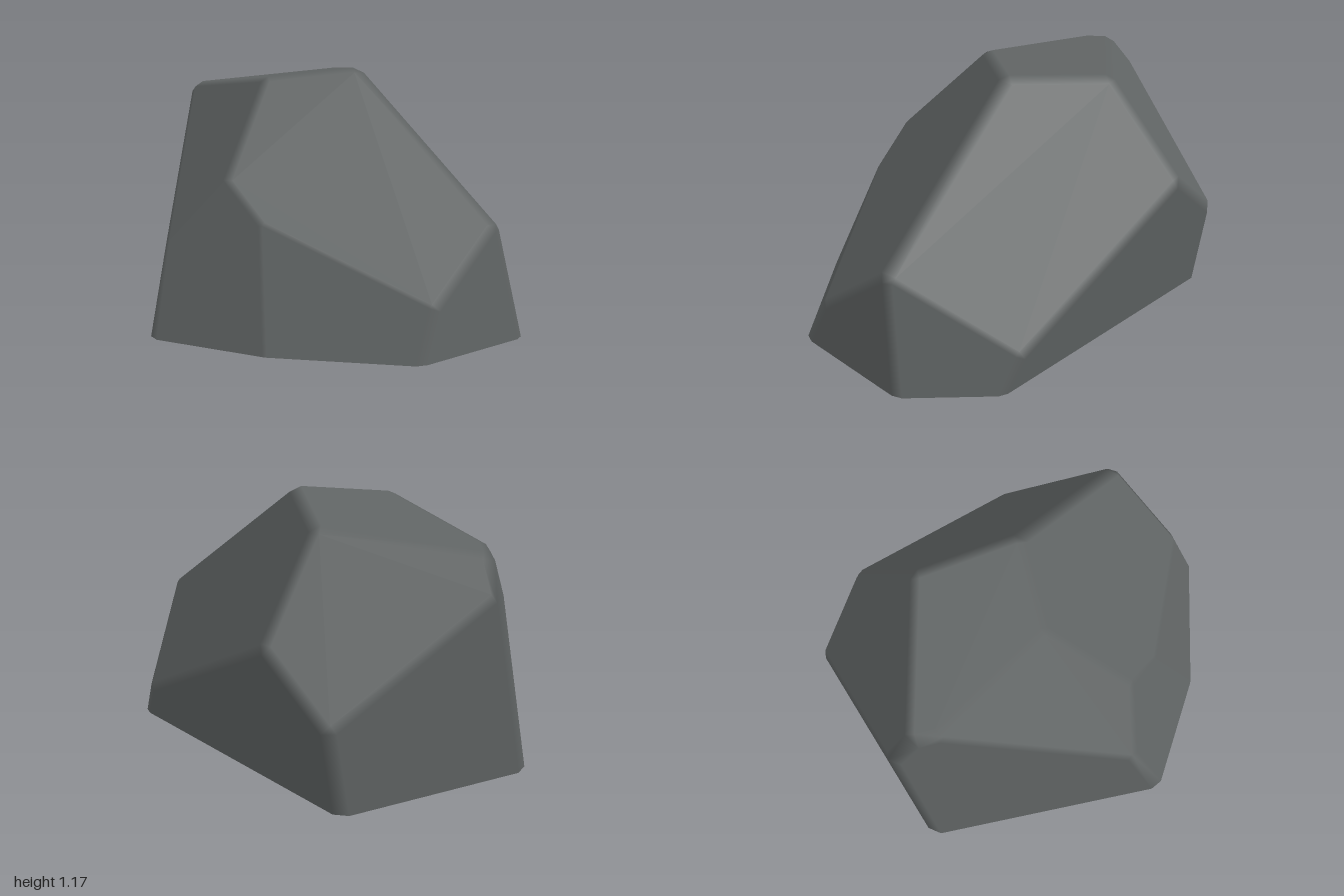
import * as THREE from 'three';
import { ConvexGeometry } from 'three/addons/geometries/ConvexGeometry.js';

const V = (x, y, z) => new THREE.Vector3(x, y, z);
const BEVEL = 0.06;

// Key corners of the boulder
const topBack = V(-0.33, 1.13, -0.48), peak = V(0.12, 1.18, -0.25), topFront = V(-0.12, 1.135, 0.14);
const topLeft = V(-0.78, 1.03, 0.13), leftShoulder = V(-0.98, 0.9, 0);
const backHigh = V(-0.43, 0.7, -0.84), backLow = V(-0.75, 0.45, -0.78), backSide = V(0.57, 0.15, -0.82);
const knee = V(0.1, 0.69, 0.52), nose = V(-0.1, 0.42, 0.71), sideShoulder = V(0.9, 0.57, -0.39);
const baseNose = V(-0.03, 0, 0.85), baseFront = V(0.5, 0, 0.59), baseSide = V(1, 0, 0.13);
const baseSideBack = V(0.975, 0, -0.5), baseBack = V(0.61, 0, -0.805);
const baseLeftBack = V(-0.78, 0, -0.7), baseLeft = V(-1, 0, 0.2);

// Each cut face passes through three points
const cuts = [
  [topBack, peak, topFront],
  [topBack, backHigh, leftShoulder],
  [peak, backHigh, backSide],
  [backHigh, backLow, backSide],
  [baseLeft, baseLeftBack, leftShoulder],
  [baseLeft, baseNose, topLeft],
  [topLeft, topFront, knee],
  [nose, baseNose, baseFront],
  [baseFront, baseSide, V(0.22, 0.6, 0.5)],
  [peak, topFront, sideShoulder],
  [baseSide, baseSideBack, V(0.93, 0.45, -0.35)],
  [baseSideBack, baseBack, sideShoulder],
];

// Planes facing outwards, moved in by the bevel; the base stays put
function makePlanes() {
  const inside = V(0, 0.4, 0);
  const planes = cuts.map(([a, b, c]) => {
    const p = new THREE.Plane().setFromCoplanarPoints(a, b, c);
    if (p.distanceToPoint(inside) > 0) p.negate();
    p.constant += BEVEL;
    return p;
  });
  planes.push(new THREE.Plane(V(0, -1, 0), 0));
  return planes;
}

// Corners where three planes meet inside all the others
function findCorners(planes) {
  const corners = [];
  const n = planes.length;
  for (let i = 0; i < n; i++) for (let j = i + 1; j < n; j++) for (let k = j + 1; k < n; k++) {
    const [a, b, c] = [planes[i], planes[j], planes[k]];
    const bc = b.normal.clone().cross(c.normal);
    const det = a.normal.dot(bc);
    if (Math.abs(det) < 1e-5) continue;
    const point = bc.multiplyScalar(-a.constant)
      .addScaledVector(c.normal.clone().cross(a.normal), -b.constant)
      .addScaledVector(a.normal.clone().cross(b.normal), -c.constant)
      .divideScalar(det);
    if (planes.every(p => p.distanceToPoint(point) < 1e-5)) corners.push({ point, faces: [a, b, c] });
  }
  return corners;
}

// Push every corner back out along its faces, leaving bevels between them
function boulderGeometry() {
  const planes = makePlanes();
  const base = planes[planes.length - 1];
  const points = [], normals = [];
  for (const { point, faces } of findCorners(planes)) {
    const grounded = faces.includes(base);
    for (const { normal } of faces.filter(f => f !== base)) {
      const push = normal.clone();
      if (grounded) {
        push.y = 0;
        push.divideScalar(push.lengthSq());
      }
      const p = point.clone().addScaledVector(push, BEVEL);
      if (grounded) p.y = 0;
      if (points.some(q => q.distanceTo(p) < 1e-4)) continue;
      points.push(p);
      normals.push(normal);
    }
  }
  const geometry = new ConvexGeometry(points);

  // Flat cut faces with shading blended across the bevels, crisp base
  const pos = geometry.attributes.position, nor = geometry.attributes.normal;
  const p = V(0, 0, 0);
  for (let i = 0; i < pos.count; i++) {
    if (nor.getY(i) < -0.99) continue;
    p.fromBufferAttribute(pos, i);
    let best = 0;
    points.forEach((q, k) => {
      if (q.distanceToSquared(p) < points[best].distanceToSquared(p)) best = k;
    });
    nor.setXYZ(i, normals[best].x, normals[best].y, normals[best].z);
  }
  return geometry;
}

export function createModel() {
  const stone = new THREE.MeshStandardMaterial({ color: 0x606464 });
  stone.name = 'darkGreyStone';
  const boulder = new THREE.Mesh(boulderGeometry(), stone);
  boulder.name = 'boulder';
  const group = new THREE.Group();
  group.name = 'rock';
  group.add(boulder);
  return group;
}
